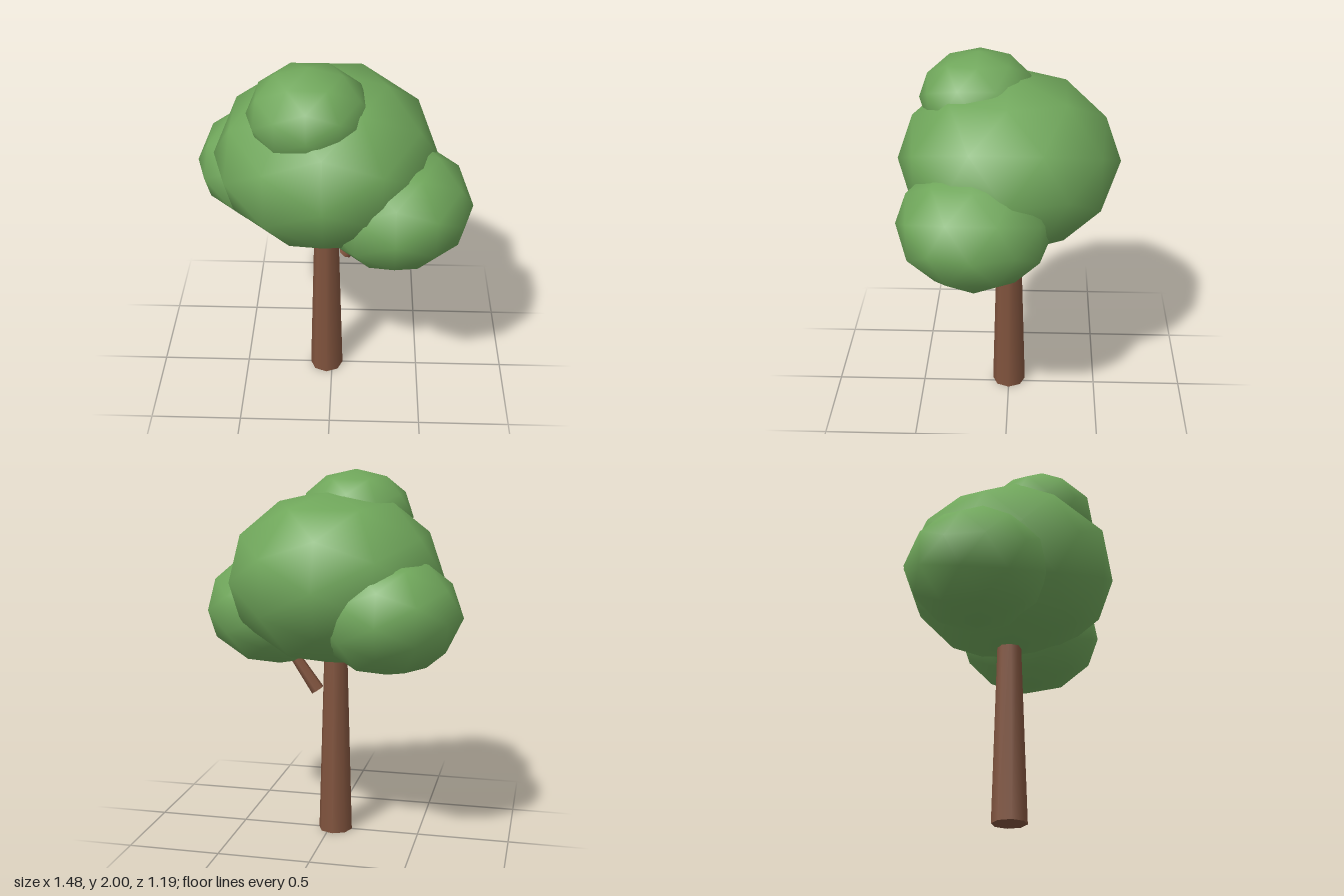
import * as THREE from 'three';

export function createModel() {
  const tree = new THREE.Group();
  tree.name = 'tree';

  const bark = new THREE.MeshStandardMaterial({ color: 0x80533d });
  bark.name = 'brown bark';
  const leaves = new THREE.MeshStandardMaterial({ color: 0x70a75b });
  leaves.name = 'green leaves';

  const add = (name, geometry, material) => {
    const mesh = new THREE.Mesh(geometry, material);
    mesh.name = name;
    tree.add(mesh);
    return mesh;
  };

  // Tapered trunk, its top buried in the crown
  const trunkHeight = 1.1;
  add('trunk', new THREE.CylinderGeometry(0.062, 0.094, trunkHeight, 8), bark)
    .position.set(-0.032, trunkHeight / 2, 0);

  // Short slanted branch reaching up into the left clump
  const branchLength = 0.32;
  const branch = new THREE.CylinderGeometry(0.026, 0.038, branchLength, 6);
  branch.translate(0, branchLength / 2, 0).rotateZ(-0.6);
  add('branch', branch, bark).position.set(0.07, 0.8, 0);

  // Foliage clumps: squashed low-poly balls, smoothly shaded
  const squash = 0.8;
  const clumps = [
    ['mainFoliage', 0.592, -0.032, 1.43, 0],
    ['leftFoliage', 0.41, 0.33, 1.232, 0.16],
    ['rightFoliage', 0.395, -0.348, 1.272, -0.2],
    ['topFoliage', 0.315, -0.11, 1.748, 0.158],
  ];
  for (const [name, radius, x, y, z] of clumps) {
    const ball = new THREE.IcosahedronGeometry(radius, 1).scale(1, squash, 1);
    add(name, ball, leaves).position.set(x, y, z);
  }

  return tree;
}
